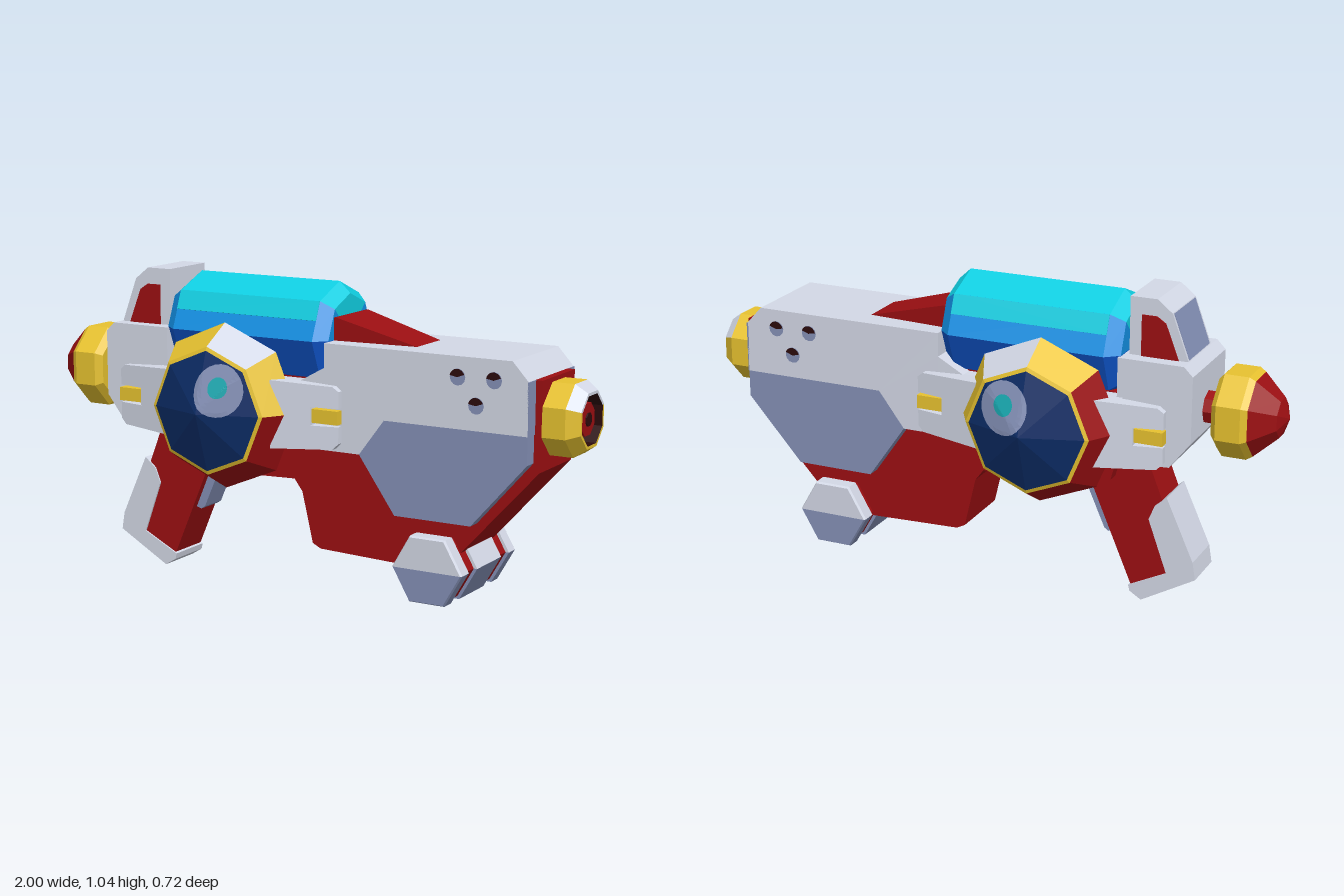
import * as THREE from 'three';

const paint = (name, color) => {
  const m = new THREE.MeshStandardMaterial({ color });
  m.name = name;
  return m;
};
const D = Math.PI / 180;

export function createModel() {
  const white = paint('white', 0xd3d8e6), grey = paint('blueGrey', 0x8490b6), red = paint('red', 0x9c0f12),
    yellow = paint('yellow', 0xe8c330), navy = paint('navy', 0x0c2c66), cyan = paint('cyan', 0x10cfe2),
    blue = paint('midBlue', 0x1290e4), deep = paint('deepBlue', 0x1058d2), dark = paint('darkMaroon', 0x2c0a0c),
    teal = paint('teal', 0x18a8b0);
  const root = new THREE.Group();
  root.name = 'toyBlaster';

  // Adds a faceted mesh
  function add(name, geo, mat) {
    const g = geo.index ? geo.toNonIndexed() : geo;
    g.computeVertexNormals();
    const mesh = new THREE.Mesh(g, mat);
    mesh.name = name;
    root.add(mesh);
    return mesh;
  }
  // Adds a part and its reflection across z = 0
  function pair(name, geo, mat) {
    const a = geo.index ? geo.toNonIndexed() : geo, b = a.clone(), p = b.attributes.position, q = a.attributes.position;
    for (let i = 0; i < p.count; i += 3)
      [0, 2, 1].forEach((k, j) => p.setXYZ(i + j, q.getX(i + k), q.getY(i + k), -q.getZ(i + k)));
    add(name + 'Front', a, mat);
    add(name + 'Back', b, mat);
  }
  // Side outline extruded between two depths
  function slab(pts, z0, z1) {
    const s = new THREE.Shape(pts.map(([x, y]) => new THREE.Vector2(x, y)));
    return new THREE.ExtrudeGeometry(s, { depth: z1 - z0, bevelEnabled: false }).translate(0, 0, z0);
  }
  const plate = (name, pts, half, mat) => add(name, slab(pts, -half, half), mat);
  // Profiles are [radius, distance along axis]
  const turned = (prof, segs, start, len) =>
    new THREE.LatheGeometry(prof.map(([r, d]) => new THREE.Vector2(r, d)), segs, start * D, len * D);
  const alongX = (prof, y, segs = 8, start = 0, len = 360) =>
    turned(prof, segs, start, len).rotateZ(-Math.PI / 2).translate(0, y, 0);
  const alongZ = (prof, x, y, segs, start = 0, len = 360) =>
    turned(prof, segs, start, len).rotateX(Math.PI / 2).translate(x, y, 0);

  // Red inner body, belly and top ramp
  plate('innerBody', [[-0.5, 0.6], [-0.45, 0.42], [-0.3, 0.37], [0, 0.38], [0.03, 0.34], [0.07, 0.17], [0.1, 0.155],
    [0.55, 0.14], [0.88, 0.5], [0.885, 0.79], [0.8, 0.79], [-0.5, 0.72]], 0.12, red);
  plate('belly', [[-0.5, 0.6], [-0.42, 0.44], [-0.3, 0.4], [-0.1, 0.4], [0.22, 0.5], [0.22, 0.6]], 0.15, red);
  const ramp = slab([[0.1, 0.8], [0.43, 0.8], [0.43, 0.85], [0.15, 0.925], [0.1, 0.925]], -0.105, 0.105);
  const rp = ramp.attributes.position;
  for (let i = 0; i < rp.count; i++) if (rp.getX(i) > 0.3) rp.setZ(i, rp.getZ(i) * 0.76);
  add('topRamp', ramp, red);

  // Barrel shell
  plate('upperShell', [[-0.5, 0.5], [0.14, 0.5], [0.27, 0.5], [0.36, 0.62], [0.86, 0.62], [0.86, 0.79], [0.805, 0.85],
    [0.14, 0.85], [0.14, 0.77], [0.05, 0.72], [-0.5, 0.72]], 0.167, white);
  plate('lowerShell', [[0.27, 0.5], [0.4, 0.315], [0.67, 0.315], [0.86, 0.53], [0.86, 0.62], [0.36, 0.62]], 0.167, grey);
  pair('shellFrontEdge', new THREE.BoxGeometry(0.006, 0.17, 0.05).translate(0.86, 0.705, 0.142), grey);
  for (const [x, y] of [[0.62, 0.785], [0.745, 0.785], [0.685, 0.7]]) {
    pair('ventRim', new THREE.CircleGeometry(0.027, 12).translate(x, y, 0.17), grey);
    pair('ventHole', new THREE.CircleGeometry(0.026, 8, 20 * D, 150 * D).translate(x, y, 0.173), dark);
  }

  // Nozzle
  const noz = [[0.125, 0.86], [0.125, 0.96]], lip = [[0.125, 0.96], [0.095, 1], [0.085, 1]];
  add('nozzleBody', alongX(noz, 0.66, 8, 22.5), yellow);
  add('nozzleLipLower', alongX(lip, 0.66, 5, -22.5, 225), yellow);
  add('nozzleLipUpper', alongX(lip, 0.66, 3, 202.5, 135), white);
  add('nozzleBore', alongX([[0.085, 1], [0.085, 0.94], [0, 0.94]], 0.66, 8, 22.5), dark);
  add('nozzleCore', alongX([[0.055, 0.93], [0.055, 0.985], [0, 0.985]], 0.66, 8, 22.5), red);
  add('nozzlePin', alongX([[0.022, 0.98], [0.022, 0.99], [0, 0.99]], 0.66, 8, 22.5), dark);

  // Tank
  const tank = [[0, -0.485], [0.14, -0.485], [0.177, -0.44], [0.177, 0.1], [0.14, 0.14], [0, 0.14]];
  add('tankTop', alongX(tank, 0.852, 2, 225, 90), cyan);
  add('tankSideBack', alongX(tank, 0.852, 1, 180, 45), blue);
  add('tankSideFront', alongX(tank, 0.852, 1, 315, 45), blue);
  add('tankBottom', alongX(tank, 0.852, 4, 0, 180), deep);
  pair('tankStripe', new THREE.BoxGeometry(0.54, 0.066, 0.006).translate(-0.17, 0.0345, 0.1625)
    .rotateX(-22.5 * D).translate(0, 0.852, 0), cyan);

  // Rear housing with sight block
  plate('rearHousing', [[-0.73, 0.6], [-0.66, 0.51], [-0.48, 0.5], [-0.48, 0.85], [-0.7, 0.85], [-0.73, 0.82]], 0.155, white);
  plate('sightBlock', [[-0.7, 0.84], [-0.5, 0.84], [-0.5, 1.04], [-0.59, 1.04], [-0.64, 1]], 0.105, white);
  plate('sightRearPanel', [[-0.696, 0.853], [-0.69, 0.853], [-0.634, 0.995], [-0.643, 0.998]], 0.095, grey);
  pair('sightInset', slab([[-0.665, 0.85], [-0.54, 0.85], [-0.54, 0.985], [-0.59, 0.985], [-0.62, 0.965]], 0.103, 0.109), red);

  // Rear knob
  add('knobNeck', alongX([[0.055, -0.82], [0.055, -0.7]], 0.675), red);
  add('knobTip', alongX([[0, -1], [0.065, -0.975], [0.135, -0.9]], 0.675, 8, 22.5), red);
  add('knobBand', alongX([[0.135, -0.9], [0.148, -0.88], [0.148, -0.8], [0.125, -0.78], [0, -0.78]], 0.675, 8, 22.5), yellow);

  // Side discs: facets listed counter-clockwise from straight down
  const cx = -0.23, cy = 0.612;
  [red, red, yellow, white, yellow, red, red, red].forEach((m, i) =>
    pair('discRim' + i, alongZ([[0, 0.18], [0.278, 0.18], [0.213, 0.29]], cx, cy, 1, i * 45, 45), m));
  pair('discBorder', alongZ([[0.213, 0.29], [0.2, 0.295]], cx, cy, 8), yellow);
  pair('discCone', alongZ([[0.2, 0.295], [0, 0.36]], cx, cy, 8), navy);
  // Painted spots follow the eight-sided cone
  function spot(name, r, x, y, lift, mat) {
    const g = new THREE.RingGeometry(0, r, 24, 6).translate(x, y, 0), p = g.attributes.position;
    for (let i = 0; i < p.count; i++) {
      const dx = p.getX(i) - cx, dy = p.getY(i) - cy;
      let d = 0;
      for (let k = 0; k < 8; k++) {
        const a = (22.5 + 45 * k) * D;
        d = Math.max(d, (dx * Math.cos(a) + dy * Math.sin(a)) / Math.cos(22.5 * D));
      }
      p.setZ(i, 0.36 - 0.065 * d / 0.2 + lift);
    }
    pair(name, g, mat);
  }
  spot('discSpot', 0.085, -0.165, 0.69, 0.003, grey);
  spot('discGlint', 0.034, -0.165, 0.7, 0.006, teal);

  // Slotted latches on both ends of each disc
  for (const s of [-1, 1]) {
    const mid = s < 0 ? -0.22 : -0.225, X = (u) => mid + s * u;
    // u runs outward from the disc centre; the plate thins toward its tip
    const outline = [[0.2, 0.5], [0.41, 0.51], [0.43, 0.53], [0.43, 0.585], [0.335, 0.585], [0.335, 0.645],
      [0.43, 0.645], [0.43, 0.7], [0.41, 0.715], [0.2, 0.725]].map(([u, y]) => [X(u), y]);
    const g = slab(outline, 0.165, 0.232), p = g.attributes.position;
    for (let i = 0; i < p.count; i++)
      if (p.getZ(i) > 0.2) p.setZ(i, 0.232 - 0.045 * Math.max(0, (Math.abs(p.getX(i) - mid) - 0.2) / 0.23));
    pair(s < 0 ? 'rearLatch' : 'frontLatch', g, white);
    pair('latchPin', new THREE.BoxGeometry(0.1, 0.045, 0.035).translate(X(0.38), 0.615, 0.178), yellow);
  }

  // Grip with pad and front strip
  plate('grip', [[-0.55, 0.52], [-0.7, 0.14], [-0.55, 0.03], [-0.51, 0.05], [-0.36, 0.4], [-0.36, 0.5]], 0.075, red);
  plate('gripPad', [[-0.63, 0.375], [-0.725, 0.165], [-0.735, 0.105], [-0.55, 0], [-0.51, 0.025], [-0.505, 0.045],
    [-0.635, 0.11], [-0.57, 0.29], [-0.59, 0.34]], 0.081, white);
  plate('gripFrontStrip', [[-0.4, 0.39], [-0.45, 0.22], [-0.42, 0.21], [-0.405, 0.22], [-0.33, 0.39]], 0.05, grey);

  // Hexagonal foregrip: light above, blue-grey below
  const cap = [[0, 0.145], [0.125, 0.145], [0.125, 0.19], [0.12, 0.198], [0, 0.198]];
  const core = [[0, -0.087], [0.125, -0.087], [0.125, 0.087], [0, 0.087]];
  [[white, 90, 'Upper'], [grey, -90, 'Lower']].forEach(([m, start, n]) => {
    pair('foregripCap' + n, alongZ(cap, 0.533, 0.157, 3, start, 180), m);
    add('foregripCore' + n, alongZ(core, 0.533, 0.157, 3, start, 180), m);
  });
  add('foregripAxle', alongZ([[0.113, -0.15], [0.113, 0.15]], 0.533, 0.157, 6, 90), red);

  return root;
}
